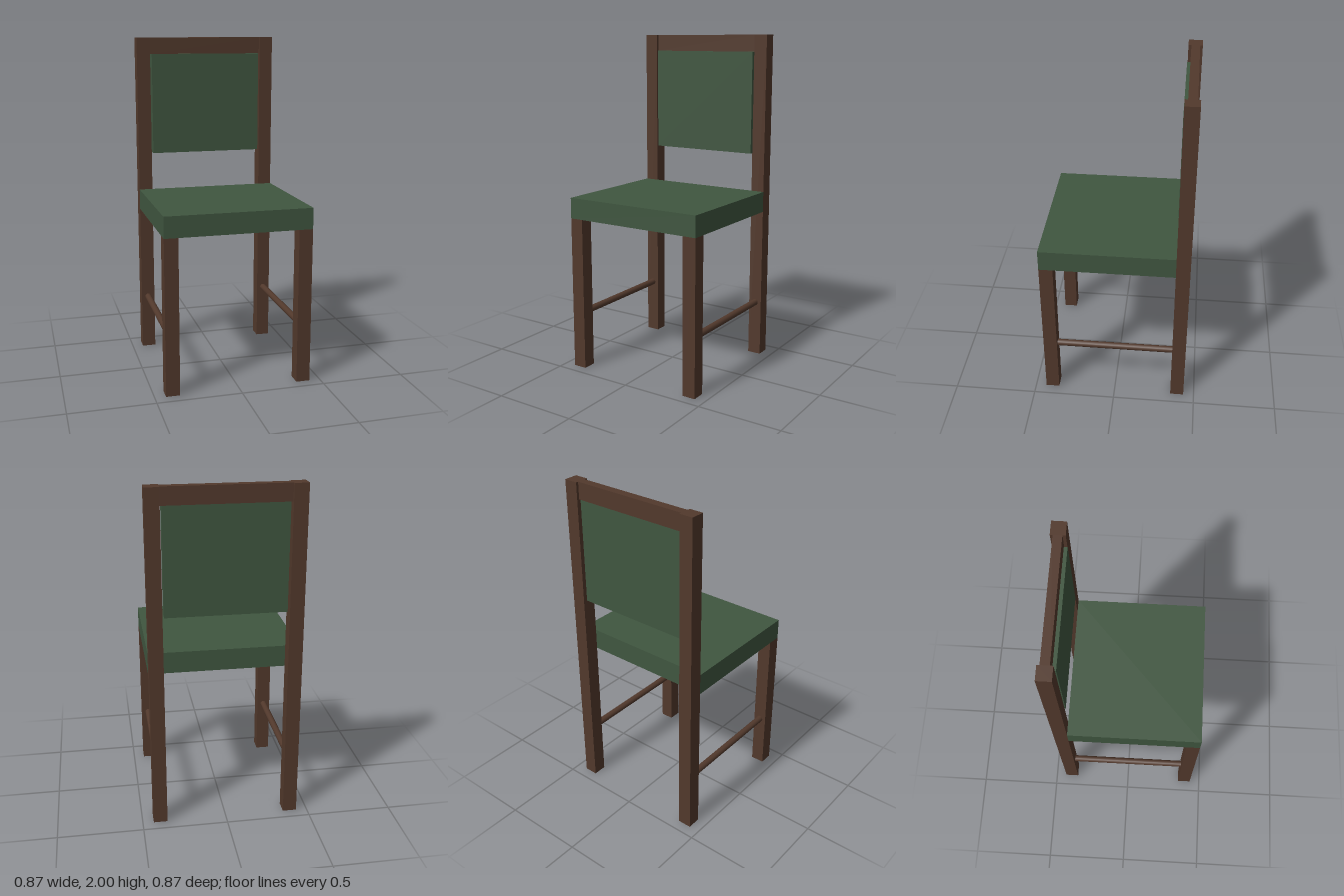
import * as THREE from 'three';

export function createModel() {
  const chair = new THREE.Group();
  chair.name = 'chair';

  const wood = new THREE.MeshStandardMaterial({ color: 0x52392c });
  wood.name = 'dark brown wood';
  const fabric = new THREE.MeshStandardMaterial({ color: 0x405640 });
  fabric.name = 'dark green fabric';

  // Box given by its limits on each axis
  function box(name, material, [x0, x1], [y0, y1], [z0, z1]) {
    const mesh = new THREE.Mesh(new THREE.BoxGeometry(x1 - x0, y1 - y0, z1 - z0), material);
    mesh.position.set((x0 + x1) / 2, (y0 + y1) / 2, (z0 + z1) / 2);
    mesh.name = name;
    chair.add(mesh);
  }

  const outer = 0.435, inner = 0.353;
  const seatBottom = 0.93, seatTop = 1.055;

  for (const side of [1, -1]) {
    const label = side > 0 ? 'left' : 'right';
    const span = side > 0 ? [inner, outer] : [-outer, -inner];

    // Legs: short in front, full-height posts behind
    box(label + 'FrontLeg', wood, span, [0, seatBottom], [inner, outer]);
    box(label + 'BackPost', wood, span, [0, 2], [-outer, -inner]);

    // Round side stretcher between the legs
    const rod = new THREE.Mesh(new THREE.CylinderGeometry(0.02, 0.02, inner * 2, 16), wood);
    rod.rotation.x = Math.PI / 2;
    rod.position.set(side * (inner + outer) / 2, 0.34, 0);
    rod.name = label + 'Stretcher';
    chair.add(rod);
  }

  // Padded seat, ending at the front of the posts
  box('seat', fabric, [-outer, outer], [seatBottom, seatTop], [-inner, outer]);

  // Backrest: top rail with the panel hung just below it
  box('topRail', wood, [-inner, inner], [1.9, 2], [-0.42, -0.37]);
  box('backPanel', fabric, [-0.343, 0.343], [1.285, 1.9], [-0.42, -0.35]);

  return chair;
}
